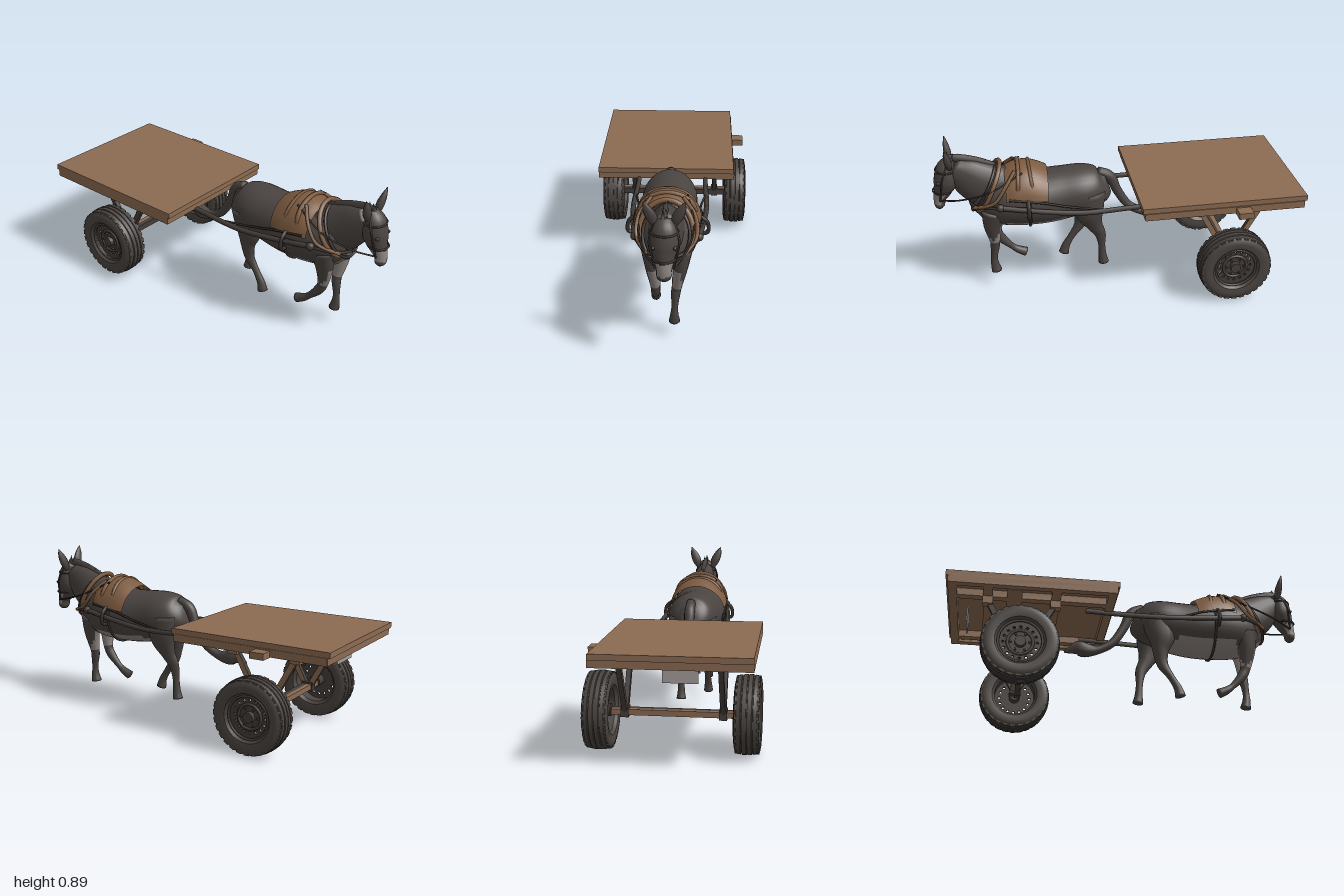
import * as THREE from 'three';
import { toCreasedNormals } from 'three/addons/utils/BufferGeometryUtils.js';

const V = (x, y, z) => new THREE.Vector3(x, y, z);
const mat = (name, color, side = THREE.FrontSide) => {
  const m = new THREE.MeshStandardMaterial({ color, side });
  m.name = name;
  return m;
};

export function createModel() {
  const hide = mat('darkHide', 0x4a4441);
  const pale = mat('paleHide', 0x8f8682);
  const wood = mat('wood', 0x8c6b52);
  const iron = mat('darkIron', 0x453e3a);
  const rubber = mat('rubber', 0x4b4541, THREE.DoubleSide);
  const leather = mat('leather', 0x7d5b40, THREE.DoubleSide);
  const strapDark = mat('darkStrap', 0x38312d);
  const plateGrey = mat('plateGrey', 0xa39d98, THREE.DoubleSide);

  const root = new THREE.Group();
  const group = (name) => {
    const g = new THREE.Group();
    g.name = name;
    root.add(g);
    return g;
  };
  const donkey = group('donkey'), harness = group('harness'), cart = group('cart');

  const add = (parent, name, geo, material) => {
    const m = new THREE.Mesh(geo, material);
    m.name = name;
    parent.add(m);
    return m;
  };
  const box = (parent, name, material, w, h, d, x, y, z) => {
    const m = add(parent, name, new THREE.BoxGeometry(w, h, d), material);
    m.position.set(x, y, z);
    return m;
  };
  const tube = (parent, name, material, pts, r, closed = false) =>
    add(parent, name, new THREE.TubeGeometry(
      new THREE.CatmullRomCurve3(pts.map((p) => V(...p)), closed), pts.length * 5, r, 6, closed), material);

  // Smooth loft through sections [x, y, z, half width, half depth];
  // paint(point, sin) picks the pale material for a face
  function loft(parent, name, secs, { seg = 5, rad = 18, arc = null, paint = null, material = hide } = {}) {
    const path = new THREE.CatmullRomCurve3(secs.map((s) => V(s[0], s[1], s[2])), false, 'catmullrom', 0.5);
    const size = new THREE.CatmullRomCurve3(secs.map((s) => V(s[3], s[4], 0)), false, 'catmullrom', 0.5);
    const n = (secs.length - 1) * seg, cols = arc ? rad + 1 : rad;
    const pos = [], idx = [[], []], info = [];
    const first = arc ? 0 : -1, last = arc ? n : n + 1;
    for (let i = first; i <= last; i++) {
      const t = Math.min(1, Math.max(0, i / n));
      const P = path.getPoint(t), T = path.getTangent(t), R = size.getPoint(t);
      if (i < 0 || i > n) R.set(0, 0, 0);
      const S = V(1, 0, 0).addScaledVector(T, -T.x).normalize();
      const U = T.clone().cross(S);
      for (let j = 0; j < cols; j++) {
        const a = arc ? arc[0] + (arc[1] - arc[0]) * j / rad : j / rad * Math.PI * 2;
        const p = P.clone().addScaledVector(S, R.x * Math.cos(a)).addScaledVector(U, R.y * Math.sin(a));
        pos.push(p.x, p.y, p.z);
        info.push([p, Math.sin(a + Math.PI / rad)]);
      }
    }
    for (let i = 0; i < last - first; i++) {
      for (let j = 0; j < rad; j++) {
        const a = i * cols + j, b = i * cols + (j + 1) % cols, c = a + cols, d = b + cols;
        idx[paint && paint(...info[a]) ? 1 : 0].push(a, b, c, b, d, c);
      }
    }
    const g = new THREE.BufferGeometry();
    g.setAttribute('position', new THREE.Float32BufferAttribute(pos, 3));
    g.setIndex([...idx[0], ...idx[1]]);
    g.addGroup(0, idx[0].length, 0);
    g.addGroup(idx[0].length, idx[1].length, 1);
    g.computeVertexNormals();
    return add(parent, name, g, [material, pale]);
  }

  // Donkey trunk, neck and head
  loft(donkey, 'body', [
    [0, 0.58, 0.045, 0.045, 0.06], [0, 0.565, 0.09, 0.105, 0.105], [0, 0.555, 0.18, 0.143, 0.135],
    [0, 0.535, 0.3, 0.15, 0.15], [0, 0.525, 0.42, 0.162, 0.155], [0, 0.535, 0.55, 0.162, 0.165],
    [0, 0.535, 0.66, 0.14, 0.152], [0, 0.53, 0.74, 0.1, 0.12], [0, 0.525, 0.79, 0.05, 0.06],
  ], { rad: 28, paint: (p, s) => p.z > 0.2 && s < (p.z > 0.27 && p.z < 0.6 ? -0.55 : -0.72) });
  loft(donkey, 'neck', [
    [0, 0.57, 0.6, 0.11, 0.14], [0, 0.63, 0.73, 0.085, 0.13],
    [0, 0.695, 0.825, 0.064, 0.1], [0, 0.74, 0.885, 0.048, 0.06],
  ]);
  loft(donkey, 'head', [
    [0, 0.79, 0.895, 0.035, 0.025], [0, 0.74, 0.92, 0.06, 0.052], [0, 0.67, 0.927, 0.069, 0.064],
    [0, 0.61, 0.948, 0.051, 0.05], [0, 0.56, 0.968, 0.037, 0.034], [0, 0.52, 0.972, 0.035, 0.028],
    [0, 0.503, 0.972, 0.02, 0.016],
  ], { paint: (p, s) => p.y < 0.605 && p.y > 0.535 && s > -0.5 });
  loft(donkey, 'mane', [
    [0, 0.8, 0.915, 0.008, 0.015], [0, 0.795, 0.86, 0.014, 0.024], [0, 0.77, 0.77, 0.014, 0.028],
    [0, 0.735, 0.68, 0.012, 0.025], [0, 0.7, 0.6, 0.006, 0.012],
  ], { rad: 8 });
  for (let i = 0; i < 10; i++) {
    const tuft = add(donkey, 'maneTuft', new THREE.ConeGeometry(0.012, 0.045, 5), hide);
    tuft.position.set(0.006 * (i % 2 ? 1 : -1), 0.815 - i * 0.0085, 0.91 - i * 0.028);
    tuft.rotation.x = -0.3;
  }

  // Ears and eyes, mirrored
  for (const s of [1, -1]) {
    loft(donkey, 'ear', [
      [s * 0.043, 0.755, 0.9, 0.014, 0.014], [s * 0.06, 0.8, 0.905, 0.027, 0.02],
      [s * 0.08, 0.845, 0.912, 0.021, 0.014], [s * 0.095, 0.885, 0.917, 0.002, 0.002],
    ], { rad: 10 });
    const eye = add(donkey, 'eye', new THREE.SphereGeometry(0.011, 10, 8), strapDark);
    eye.position.set(s * 0.05, 0.672, 0.968);
    const glint = add(donkey, 'eyeGlint', new THREE.SphereGeometry(0.004, 8, 6), plateGrey);
    glint.position.set(s * 0.052, 0.676, 0.978);
  }

  // Walking legs
  const foreleg = { rad: 14, paint: (p, s) => p.y > 0.3 && p.y < 0.42 && Math.abs(p.x) < 0.085 };
  loft(donkey, 'leftFrontLeg', [
    [0.08, 0.5, 0.68, 0.05, 0.075], [0.068, 0.4, 0.695, 0.038, 0.052], [0.052, 0.29, 0.69, 0.026, 0.029],
    [0.046, 0.25, 0.692, 0.024, 0.026], [0.042, 0.18, 0.7, 0.017, 0.019], [0.04, 0.13, 0.7, 0.021, 0.023],
    [0.04, 0.085, 0.692, 0.029, 0.03],
  ], foreleg);
  loft(donkey, 'rightFrontLeg', [
    [-0.08, 0.5, 0.67, 0.05, 0.075], [-0.07, 0.4, 0.685, 0.038, 0.052], [-0.058, 0.29, 0.675, 0.026, 0.03],
    [-0.058, 0.235, 0.65, 0.024, 0.027], [-0.06, 0.175, 0.595, 0.017, 0.018], [-0.062, 0.147, 0.56, 0.022, 0.022],
    [-0.063, 0.125, 0.515, 0.026, 0.027],
  ], foreleg);
  loft(donkey, 'leftHindLeg', [
    [0.08, 0.56, 0.17, 0.06, 0.1], [0.085, 0.44, 0.16, 0.05, 0.08], [0.072, 0.35, 0.13, 0.032, 0.046],
    [0.062, 0.28, 0.097, 0.022, 0.032], [0.056, 0.2, 0.088, 0.018, 0.02], [0.055, 0.13, 0.083, 0.021, 0.023],
    [0.055, 0.085, 0.077, 0.028, 0.03],
  ], { rad: 14 });
  loft(donkey, 'rightHindLeg', [
    [-0.08, 0.56, 0.17, 0.06, 0.1], [-0.085, 0.44, 0.19, 0.05, 0.08], [-0.085, 0.35, 0.185, 0.034, 0.046],
    [-0.083, 0.27, 0.195, 0.023, 0.032], [-0.083, 0.2, 0.24, 0.018, 0.02], [-0.083, 0.135, 0.278, 0.021, 0.023],
    [-0.083, 0.085, 0.292, 0.027, 0.03],
  ], { rad: 14 });

  // Tail swept back with a full tuft
  loft(donkey, 'tail', [
    [0, 0.65, 0.1, 0.025, 0.025], [0, 0.61, 0.03, 0.03, 0.03], [0, 0.52, -0.01, 0.026, 0.026],
    [0, 0.42, -0.075, 0.024, 0.024], [0, 0.37, -0.16, 0.025, 0.025], [0, 0.365, -0.23, 0.035, 0.042],
    [0, 0.375, -0.275, 0.03, 0.04], [0, 0.345, -0.345, 0.004, 0.006],
  ], { rad: 12 });

  // Saddle pad draped over the back
  loft(harness, 'saddle', [
    [0, 0.54, 0.395, 0.166, 0.162], [0, 0.545, 0.45, 0.174, 0.183], [0, 0.55, 0.51, 0.174, 0.195],
    [0, 0.55, 0.57, 0.17, 0.185], [0, 0.55, 0.615, 0.158, 0.165],
  ], { arc: [0.2, Math.PI - 0.2], material: leather });
  const hoop = (name, material, x, y, z, rx, ry, lean, r) => {
    const pts = [];
    for (let i = 0; i < 14; i++) {
      const a = i / 14 * Math.PI * 2, v = ry * Math.sin(a);
      pts.push([x + rx * Math.cos(a), y + v * Math.cos(lean), z + v * Math.sin(lean)]);
    }
    tube(harness, name, material, pts, r, true);
  };
  hoop('girth', strapDark, 0, 0.535, 0.49, 0.168, 0.172, 0, 0.007);
  hoop('saddleRollFront', leather, 0, 0.64, 0.55, 0.14, 0.105, -0.1, 0.012);
  hoop('saddleRollBack', leather, 0, 0.63, 0.47, 0.14, 0.11, 0.1, 0.01);
  hoop('collar', leather, 0, 0.615, 0.7, 0.13, 0.15, -0.45, 0.013);
  hoop('collarStrap', strapDark, 0, 0.61, 0.73, 0.115, 0.145, -0.5, 0.008);

  // Bridle
  hoop('browBand', strapDark, 0, 0.735, 0.921, 0.064, 0.056, 1.57, 0.005);
  hoop('noseBand', strapDark, 0, 0.61, 0.948, 0.054, 0.053, 1.57, 0.005);
  tube(harness, 'breastStrap', strapDark, [
    [-0.175, 0.545, 0.5], [-0.155, 0.55, 0.66], [-0.09, 0.535, 0.775], [0, 0.52, 0.805],
    [0.09, 0.535, 0.775], [0.155, 0.55, 0.66], [0.175, 0.545, 0.5]], 0.009);
  for (const s of [1, -1]) {
    tube(harness, 'cheekStrap', strapDark, [
      [s * 0.045, 0.78, 0.91], [s * 0.07, 0.7, 0.945], [s * 0.062, 0.64, 0.955], [s * 0.042, 0.56, 0.965]], 0.005);
    tube(harness, 'rein', strapDark, [
      [s * 0.042, 0.565, 0.96], [s * 0.1, 0.59, 0.86], [s * 0.135, 0.64, 0.7], [s * 0.1, 0.725, 0.52]], 0.005);
    tube(harness, 'traceStrap', leather, [
      [s * 0.08, 0.73, 0.56], [s * 0.14, 0.66, 0.62], [s * 0.15, 0.58, 0.68], [s * 0.09, 0.53, 0.79]], 0.01);
    tube(harness, 'sideStrap', strapDark, [
      [s * 0.165, 0.6, 0.6], [s * 0.172, 0.57, 0.42], [s * 0.165, 0.53, 0.28], [s * 0.19, 0.51, 0.1]], 0.006);
    // Cart shafts running along the flanks
    tube(cart, 'shaft', iron, [
      [s * 0.19, 0.515, -0.25], [s * 0.19, 0.508, -0.05], [s * 0.198, 0.505, 0.2],
      [s * 0.185, 0.525, 0.42], [s * 0.16, 0.555, 0.65]], 0.014);
    const tip = add(cart, 'shaftTip', new THREE.SphereGeometry(0.022, 10, 8), iron);
    tip.position.set(s * 0.16, 0.555, 0.65);
    tube(harness, 'shaftLoop', strapDark, [
      [s * 0.165, 0.59, 0.5], [s * 0.2, 0.56, 0.5], [s * 0.205, 0.505, 0.5], [s * 0.17, 0.49, 0.5]], 0.011);
  }

  // Flat deck on a frame
  box(cart, 'deck', wood, 0.77, 0.03, 0.91, -0.035, 0.567, -0.545);
  for (const x of [-0.4, 0.335]) box(cart, 'sideRail', wood, 0.04, 0.04, 0.88, x, 0.533, -0.545);
  for (const z of [-0.125, -0.965]) box(cart, 'endRail', wood, 0.77, 0.04, 0.045, -0.035, 0.533, z);
  for (const x of [-0.26, 0.26]) box(cart, 'chassisRail', wood, 0.045, 0.04, 0.82, x, 0.533, -0.545);
  for (const z of [-0.42, -0.78]) box(cart, 'crossBeam', wood, 0.72, 0.035, 0.05, -0.035, 0.533, z);
  box(cart, 'longCrossBeam', wood, 0.8, 0.035, 0.08, 0.02, 0.528, -0.64);
  const plate = box(cart, 'rearPlate', plateGrey, 0.17, 0.085, 0.008, -0.07, 0.47, -0.885);
  plate.rotation.x = 0.03;

  // V struts from the deck to the axle
  for (const x of [-0.25, 0.25]) {
    for (const s of [1, -1]) {
      const top = V(x, 0.515, -0.6 + s * 0.185), foot = V(x, 0.2, -0.6 + s * 0.012);
      const strut = add(cart, 'strut', new THREE.BoxGeometry(0.026, top.distanceTo(foot), 0.03),
        [wood, iron, iron, iron, iron, iron]);
      strut.position.copy(top).add(foot).multiplyScalar(0.5);
      strut.rotation.x = Math.atan2(top.z - foot.z, top.y - foot.y);
      box(cart, 'strutBlock', wood, 0.045, 0.04, 0.055, x * 1.04, 0.495, -0.6 + s * 0.18);
    }
    box(cart, 'axleClamp', iron, 0.04, 0.05, 0.065, x, 0.2, -0.6);
  }
  box(cart, 'axle', iron, 0.66, 0.034, 0.03, 0, 0.198, -0.587);
  box(cart, 'axlePlank', wood, 0.64, 0.03, 0.025, 0, 0.2, -0.613);

  // Wheels: grooved tyre, pierced rim and hub
  const profile = [[0.115, -0.045], [0.13, -0.062], [0.16, -0.067], [0.183, -0.063], [0.197, -0.05],
    [0.2, -0.032], [0.195, -0.03], [0.195, -0.026], [0.202, -0.024], [0.203, -0.003], [0.197, -0.002]];
  const mirrored = profile.slice().reverse().map(([r, y]) => [r, -y]);
  const tyreGeo = toCreasedNormals(new THREE.LatheGeometry(
    [...profile, ...mirrored, profile[0]].map((p) => new THREE.Vector2(...p)), 48), 0.6);
  const disc = new THREE.Shape().absarc(0, 0, 0.118, 0, Math.PI * 2);
  for (let i = 0; i < 16; i++) {
    const a = i / 16 * Math.PI * 2;
    disc.holes.push(new THREE.Path().absarc(Math.cos(a) * 0.087, Math.sin(a) * 0.087, 0.007, 0, Math.PI * 2, true));
  }
  const rimGeo = new THREE.ExtrudeGeometry(disc, { depth: 0.012, bevelEnabled: false, curveSegments: 24 });
  for (const s of [1, -1]) {
    const wheel = new THREE.Group();
    wheel.name = s > 0 ? 'leftWheel' : 'rightWheel';
    wheel.position.set(s * 0.375, 0.203, -0.6);
    wheel.rotation.y = s * Math.PI / 2;
    cart.add(wheel);
    add(wheel, 'tyre', tyreGeo, rubber).rotation.x = Math.PI / 2;
    add(wheel, 'rim', rimGeo, iron).position.z = 0.015;
    for (const [r, t, z] of [[0.113, 0.007, 0.045], [0.065, 0.008, 0.028]])
      add(wheel, 'rimRing', new THREE.TorusGeometry(r, t, 8, 36), iron).position.z = z;
    const hub = add(wheel, 'hub', new THREE.CylinderGeometry(0.028, 0.034, 0.1, 20), iron);
    hub.rotation.x = Math.PI / 2;
    for (let i = 0; i < 6; i++) {
      const nut = add(wheel, 'wheelNut', new THREE.CylinderGeometry(0.006, 0.006, 0.016, 6), iron);
      nut.rotation.x = Math.PI / 2;
      nut.position.set(Math.cos(i * Math.PI / 3) * 0.048, Math.sin(i * Math.PI / 3) * 0.048, 0.032);
    }
    // Shoulder lugs on the tread
    for (let i = 0; i < 28; i++) {
      const a = i / 28 * Math.PI * 2;
      for (const e of [1, -1]) {
        const lug = box(wheel, 'treadLug', rubber, 0.012, 0.028, 0.02,
          Math.cos(a) * 0.19, Math.sin(a) * 0.19, e * 0.05);
        lug.rotation.z = a;
      }
    }
  }
  return root;
}
